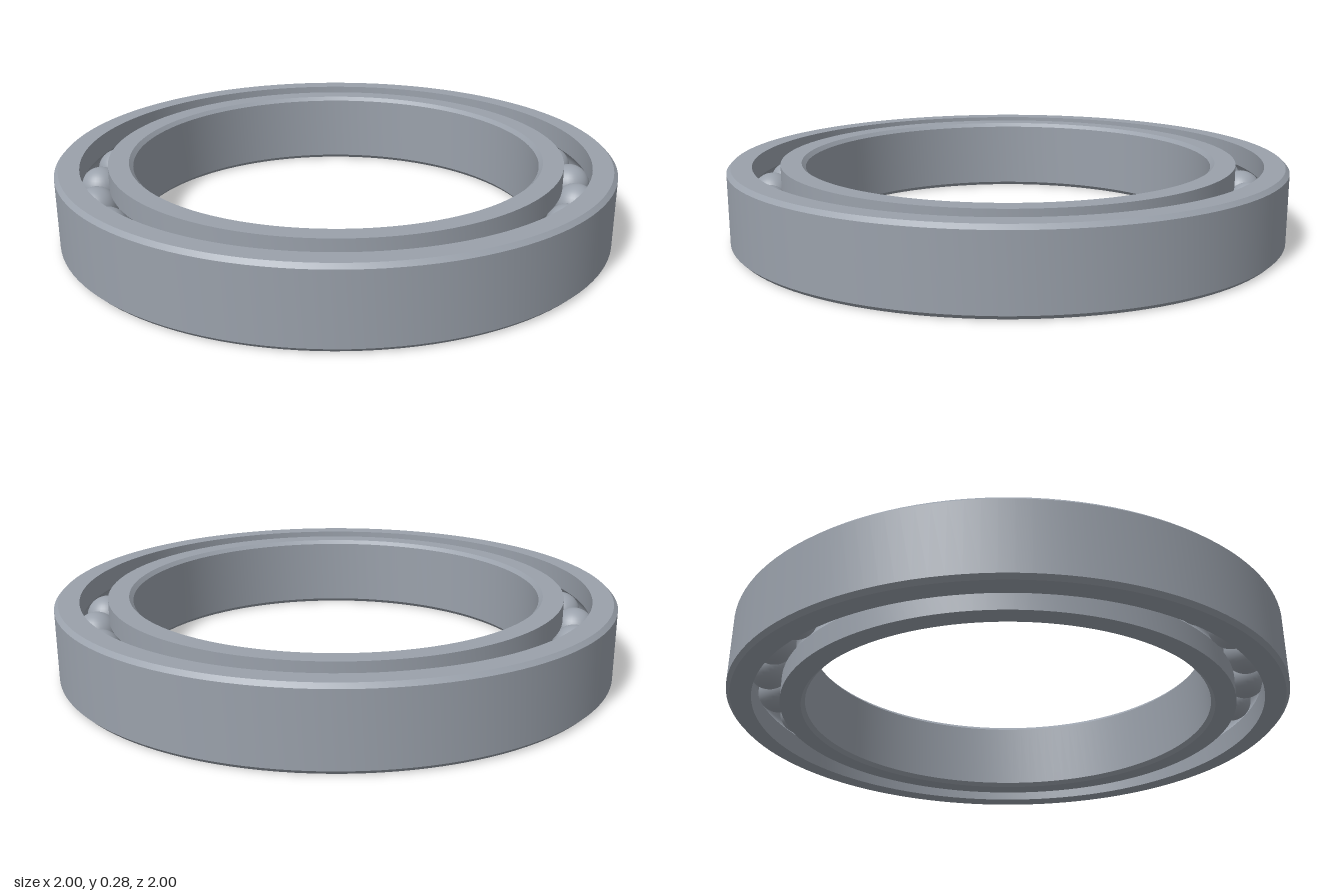
import * as THREE from 'three';
import { toCreasedNormals } from 'three/addons/utils/BufferGeometryUtils.js';

const HEIGHT = 0.275, MID = HEIGHT / 2, CHAMFER = 0.014;
const ORBIT = 0.865, BALL_RADIUS = 0.075, GROOVE_RADIUS = 0.077, BALLS = 26;

// Ball groove cut into a race wall; side +1 bulges outward, -1 inward
function groove(wall, side) {
  const half = Math.acos(Math.abs(wall - ORBIT) / GROOVE_RADIUS);
  const points = [];
  for (let i = 0; i <= 12; i++) {
    const a = side * half * (1 - i / 6);
    points.push([ORBIT + side * GROOVE_RADIUS * Math.cos(a), MID + GROOVE_RADIUS * Math.sin(a)]);
  }
  return points;
}

// Revolve a closed counter-clockwise section, keeping its corners crisp
function ring(name, section, material) {
  const points = [...section, section[0]].map(([r, y]) => new THREE.Vector2(r, y));
  const geometry = toCreasedNormals(new THREE.LatheGeometry(points, 128), 0.5);
  const mesh = new THREE.Mesh(geometry, material);
  mesh.name = name;
  return mesh;
}

export function createModel() {
  const model = new THREE.Group();
  model.name = 'ballBearing';
  const steel = new THREE.MeshStandardMaterial({ color: 0x9aa1ab });
  steel.name = 'steel';

  // Outer race: chamfered outside, grooved inside
  const outerWall = 0.914;
  model.add(ring('outerRace', [
    [outerWall, 0], [1 - CHAMFER, 0], [1, CHAMFER],
    [1, HEIGHT - CHAMFER], [1 - CHAMFER, HEIGHT], [outerWall, HEIGHT],
    ...groove(outerWall, 1),
  ], steel));

  // Inner race: chamfered bore, grooved outside
  const innerWall = 0.817, bore = 0.73;
  model.add(ring('innerRace', [
    [bore + CHAMFER, 0], [innerWall, 0],
    ...groove(innerWall, -1),
    [innerWall, HEIGHT], [bore + CHAMFER, HEIGHT],
    [bore, HEIGHT - CHAMFER], [bore, CHAMFER],
  ], steel));

  // Rolling balls
  const balls = new THREE.Group();
  balls.name = 'balls';
  const ballGeometry = new THREE.SphereGeometry(BALL_RADIUS, 32, 20);
  for (let i = 0; i < BALLS; i++) {
    const a = (i / BALLS) * Math.PI * 2 + 0.032;
    const ball = new THREE.Mesh(ballGeometry, steel);
    ball.name = 'ball';
    ball.position.set(ORBIT * Math.cos(a), MID, -ORBIT * Math.sin(a));
    balls.add(ball);
  }
  model.add(balls);
  return model;
}
